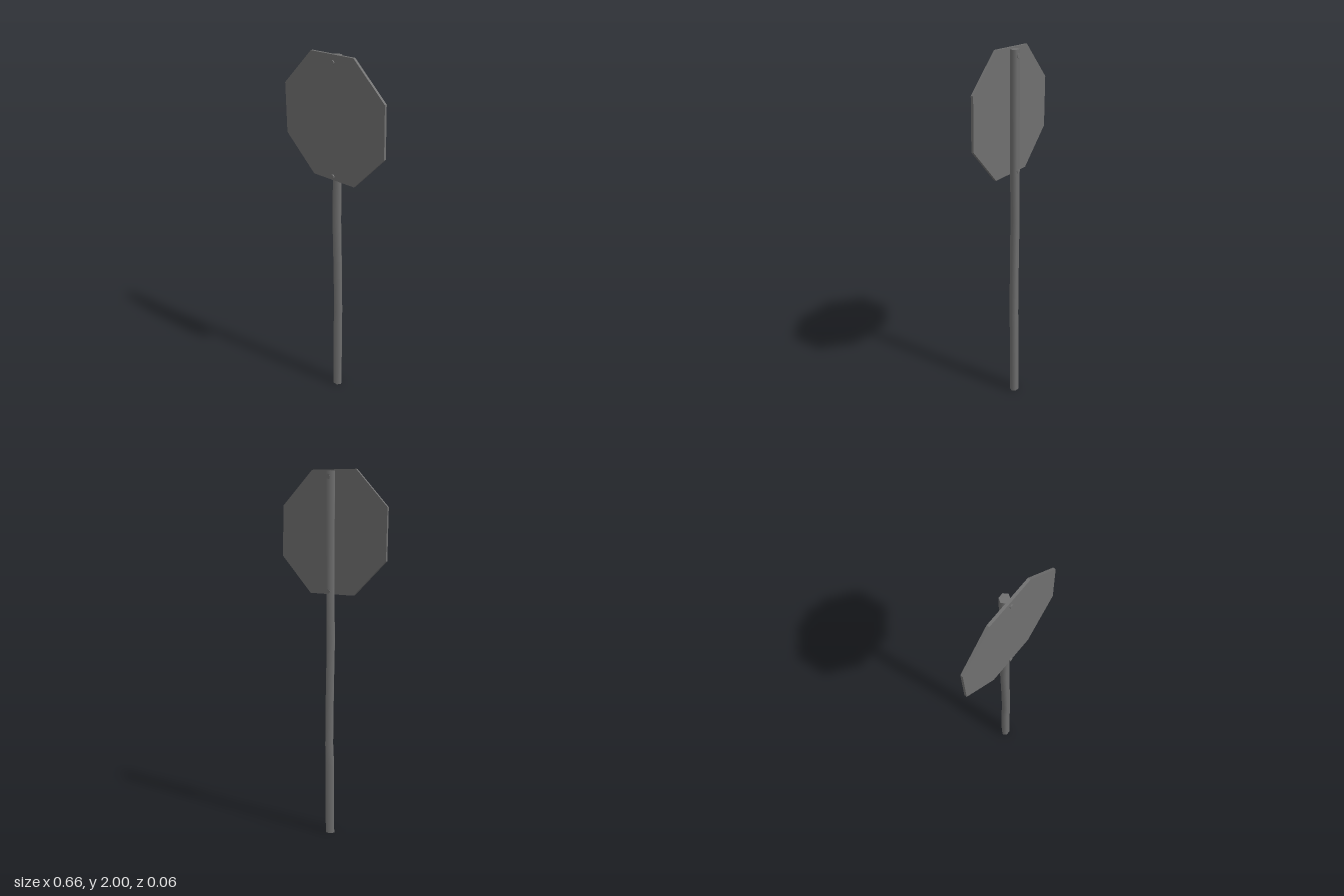
import * as THREE from 'three';

const smoothMetal = new THREE.MeshStandardMaterial({ color: 0x6f6f6f });
const flatMetal = new THREE.MeshStandardMaterial({ color: 0x6f6f6f, flatShading: true });

function addMesh(parent, geometry, material, name) {
  const mesh = new THREE.Mesh(geometry, material);
  mesh.name = name;
  parent.add(mesh);
  return mesh;
}

// Six-sided, smoothly shaded post, slightly bent: each ring is [height, centre x, half width]
function postGeometry() {
  const rings = [
    [0, 0.003, 0.029], [0.4, 0.004, 0.029], [0.52, 0.008, 0.025], [0.8, 0.004, 0.025],
    [1.1, -0.003, 0.025], [1.35, 0, 0.024], [1.99, -0.001, 0.027],
  ];
  const geometry = new THREE.CylinderGeometry(1, 1, rings.length - 1, 6, rings.length - 1);
  geometry.rotateY(Math.PI / 6); // corners towards the left and right
  const p = geometry.attributes.position;
  for (let i = 0; i < p.count; i++) {
    const [y, cx, r] = rings[Math.round(p.getY(i) + (rings.length - 1) / 2)];
    p.setXYZ(i, cx + p.getX(i) * r, y, -0.008 + p.getZ(i) * 0.0245);
  }
  return geometry;
}

export function createModel() {
  const sign = new THREE.Group();
  sign.name = 'roadSign';

  addMesh(sign, postGeometry(), smoothMetal, 'post');

  // Slightly irregular octagonal plate
  const outline = [
    [-0.143, 1.995], [-0.328, 1.803], [-0.324, 1.535], [-0.132, 1.35],
    [0.142, 1.35], [0.328, 1.545], [0.322, 1.817], [0.129, 2],
  ].map(([x, y]) => new THREE.Vector2(x, y));
  const plate = addMesh(sign, new THREE.ExtrudeGeometry(new THREE.Shape(outline),
    { depth: 0.014, bevelEnabled: false }), flatMetal, 'signPlate');
  plate.position.z = 0.012;

  // Bolts running through the plate and post
  for (const [name, y] of [['topBolt', 1.96], ['bottomBolt', 1.37]]) {
    const bolt = addMesh(sign, new THREE.CylinderGeometry(0.011, 0.013, 0.064, 8), smoothMetal, name);
    bolt.rotation.x = Math.PI / 2;
    bolt.position.y = y;
  }
  return sign;
}
